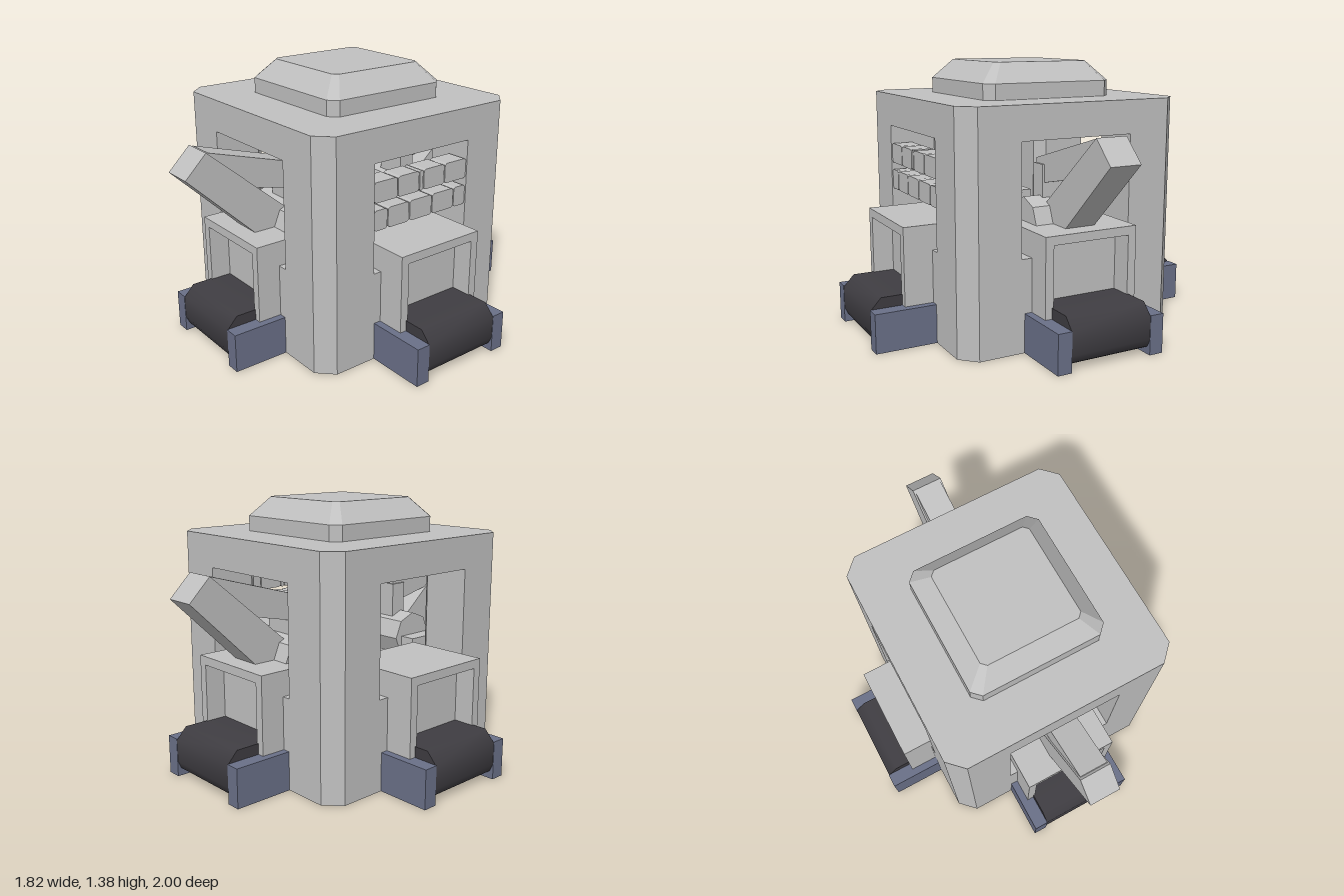
import * as THREE from 'three';
import { toCreasedNormals } from 'three/addons/utils/BufferGeometryUtils.js';

const mat = (name, color) => Object.assign(new THREE.MeshStandardMaterial({ color }), { name });
const grey = mat('light grey', 0xc0c0c0);
const blue = mat('slate blue', 0x6a7088);
const dark = mat('belt black', 0x3e3c41);

function add(parent, name, geometry, material) {
  const mesh = new THREE.Mesh(geometry, material);
  mesh.name = name;
  parent.add(mesh);
  return mesh;
}

// Box given by its low and high corners
function box(x0, x1, y0, y1, z0, z1) {
  return new THREE.BoxGeometry(x1 - x0, y1 - y0, z1 - z0)
    .translate((x0 + x1) / 2, (y0 + y1) / 2, (z0 + z1) / 2);
}

const shapeOf = (pts) => new THREE.Shape(pts.map(([x, y]) => new THREE.Vector2(x, y)));
const extrude = (shape, depth) => new THREE.ExtrudeGeometry(shape, { depth, bevelEnabled: false });

// Side profile of [z, y] points, given a width centred on x = 0
const profile = (pts, width) =>
  extrude(shapeOf(pts), width).translate(0, 0, -width / 2).rotateY(-Math.PI / 2);

// Plan outline of [x, -z] points, raised from y0 to y1
const upright = (pts, y0, y1) => extrude(shapeOf(pts), y1 - y0).rotateX(-Math.PI / 2).translate(0, y0, 0);

// Rectangle with cut corners, counter-clockwise
const octagon = (a, b, c) => [
  [a, -b + c], [a, b - c], [a - c, b], [-a + c, b],
  [-a, b - c], [-a, -b + c], [-a + c, -b], [a - c, -b],
];

// Flat-faced solid through a stack of equal-length plan outlines
function loft(rings) {
  const pos = [];
  const n = rings[0].pts.length;
  const P = (r, i) => [rings[r].pts[i % n][0], rings[r].y, -rings[r].pts[i % n][1]];
  const last = rings.length - 1;
  for (let r = 0; r < last; r++) {
    for (let i = 0; i < n; i++) {
      pos.push(...P(r, i), ...P(r, i + 1), ...P(r + 1, i + 1));
      pos.push(...P(r, i), ...P(r + 1, i + 1), ...P(r + 1, i));
    }
  }
  for (let i = 1; i < n - 1; i++) {
    pos.push(...P(last, 0), ...P(last, i), ...P(last, i + 1));
    pos.push(...P(0, 0), ...P(0, i + 1), ...P(0, i));
  }
  const g = new THREE.BufferGeometry();
  g.setAttribute('position', new THREE.Float32BufferAttribute(pos, 3));
  g.computeVertexNormals();
  return g;
}

// Tower: solid base, four corner posts, roof slab and bevelled cap
function tower() {
  const g = new THREE.Group();
  g.name = 'tower';
  const plan = octagon(0.61, 0.61, 0.08);
  add(g, 'base', upright(plan, 0, 0.47), grey);
  const post = [[0.305, 0.36], [0.36, 0.305], [0.61, 0.305], [0.61, 0.53], [0.53, 0.61], [0.305, 0.61]];
  for (let i = 0; i < 4; i++) {
    add(g, 'cornerPost', upright(post, 0.47, 1.03), grey).rotation.y = i * Math.PI / 2;
  }
  add(g, 'roof', upright(plan, 1.03, 1.2), grey);
  const rim = octagon(0.36, 0.36, 0.045);
  add(g, 'cap', loft([
    { y: 1.2, pts: rim }, { y: 1.28, pts: rim }, { y: 1.38, pts: octagon(0.265, 0.27, 0.025) },
  ]), grey);
  return g;
}

// Gate house with a recessed doorway and a conveyor running out of it, facing +z
function station(boxEnd, beltEnd) {
  const g = new THREE.Group();
  g.name = 'conveyorStation';
  const recess = 0.11;
  add(g, 'gateHouse', box(-0.255, 0.255, 0, 0.6, 0.31, boxEnd - recess), grey);
  const frame = shapeOf([
    [-0.255, 0], [-0.21, 0], [-0.21, 0.555], [0.21, 0.555],
    [0.21, 0], [0.255, 0], [0.255, 0.6], [-0.255, 0.6],
  ]);
  add(g, 'doorFrame', extrude(frame, recess).translate(0, 0, boxEnd - recess), grey);
  add(g, 'doorSill', box(-0.21, 0.21, 0, 0.02, boxEnd - recess, boxEnd - 0.01), grey);
  for (const s of [-1, 1]) {
    add(g, 'sideRail', box(-0.037, 0.037, 0, 0.2, 0.5, beltEnd).translate(s * 0.257, 0, 0), blue);
  }
  const e = beltEnd - 0.002;
  const belt = profile([
    [0.5, 0.02], [e - 0.055, 0.02], [e - 0.018, 0.04], [e, 0.08],
    [e, 0.195], [e - 0.055, 0.255], [0.5, 0.255],
  ], 0.44);
  add(g, 'belt', toCreasedNormals(belt, 0.95), dark);
  return g;
}

// Folded loading arm, facing +z
function arm() {
  const g = new THREE.Group();
  g.name = 'loadingArm';
  add(g, 'mainBeam', profile([[0.5, 0.465], [1, 0.95], [0.885, 1.065], [0.4, 0.65]], 0.165), grey);
  add(g, 'upperStrut', profile([[0.34, 0.77], [0.61, 0.83], [0.9, 0.98], [0.87, 1.06], [0.34, 0.905]], 0.148), grey);
  add(g, 'link', profile([[0.33, 0.6], [0.42, 0.6], [0.42, 0.88], [0.33, 0.88]], 0.17), grey);
  const hub = new THREE.CylinderGeometry(0.13, 0.13, 0.355, 8).toNonIndexed();
  hub.computeVertexNormals();
  add(g, 'pivotHub', hub.rotateZ(Math.PI / 2).translate(0, 0.593, 0.395), grey);
  return g;
}

// Two rows of blocks strung across the right window
function windowBlocks() {
  const g = new THREE.Group();
  g.name = 'windowBlocks';
  const rows = [
    { y: 0.882, cuts: [-0.305, -0.153, -0.01, 0.017, 0.157, 0.305] },
    { y: 0.74, cuts: [-0.305, -0.222, -0.072, 0.078, 0.218, 0.305] },
  ];
  for (const { y, cuts } of rows) {
    add(g, 'blockCore', box(0.49, 0.57, y - 0.04, y + 0.04, -0.305, 0.305), grey);
    for (let i = 0; i < cuts.length - 1; i++) {
      const a = cuts[i] + 0.003, b = cuts[i + 1] - 0.003, c = Math.min(0.012, (b - a) / 3);
      const pts = [
        [a, y - 0.044], [a + c, y - 0.052], [b - c, y - 0.052], [b, y - 0.044],
        [b, y + 0.044], [b - c, y + 0.052], [a + c, y + 0.052], [a, y + 0.044],
      ];
      add(g, 'block', profile(pts, 0.11).translate(0.53, 0, 0), grey);
    }
  }
  return g;
}

export function createModel() {
  const model = new THREE.Group();
  model.name = 'sortingTower';
  const body = tower();
  body.position.x = -0.02;
  model.add(body, windowBlocks());

  // One station per side: turn, offset, house reach, belt reach
  const sides = [
    [0, -0.025, 0, 0.735, 0.9],
    [1, -0.02, 0.005, 0.76, 0.927],
    [2, -0.025, 0, 0.738, 0.92],
    [3, -0.02, 0.005, 0.76, 0.895],
  ];
  for (const [turn, x, z, houseEnd, beltEnd] of sides) {
    const s = station(houseEnd, beltEnd);
    s.position.set(x, 0, z);
    s.rotation.y = turn * Math.PI / 2;
    model.add(s);
  }

  // Arms at the front and back
  for (const turn of [0, Math.PI]) {
    const a = arm();
    a.position.x = -0.02;
    a.rotation.y = turn;
    model.add(a);
  }
  return model;
}
